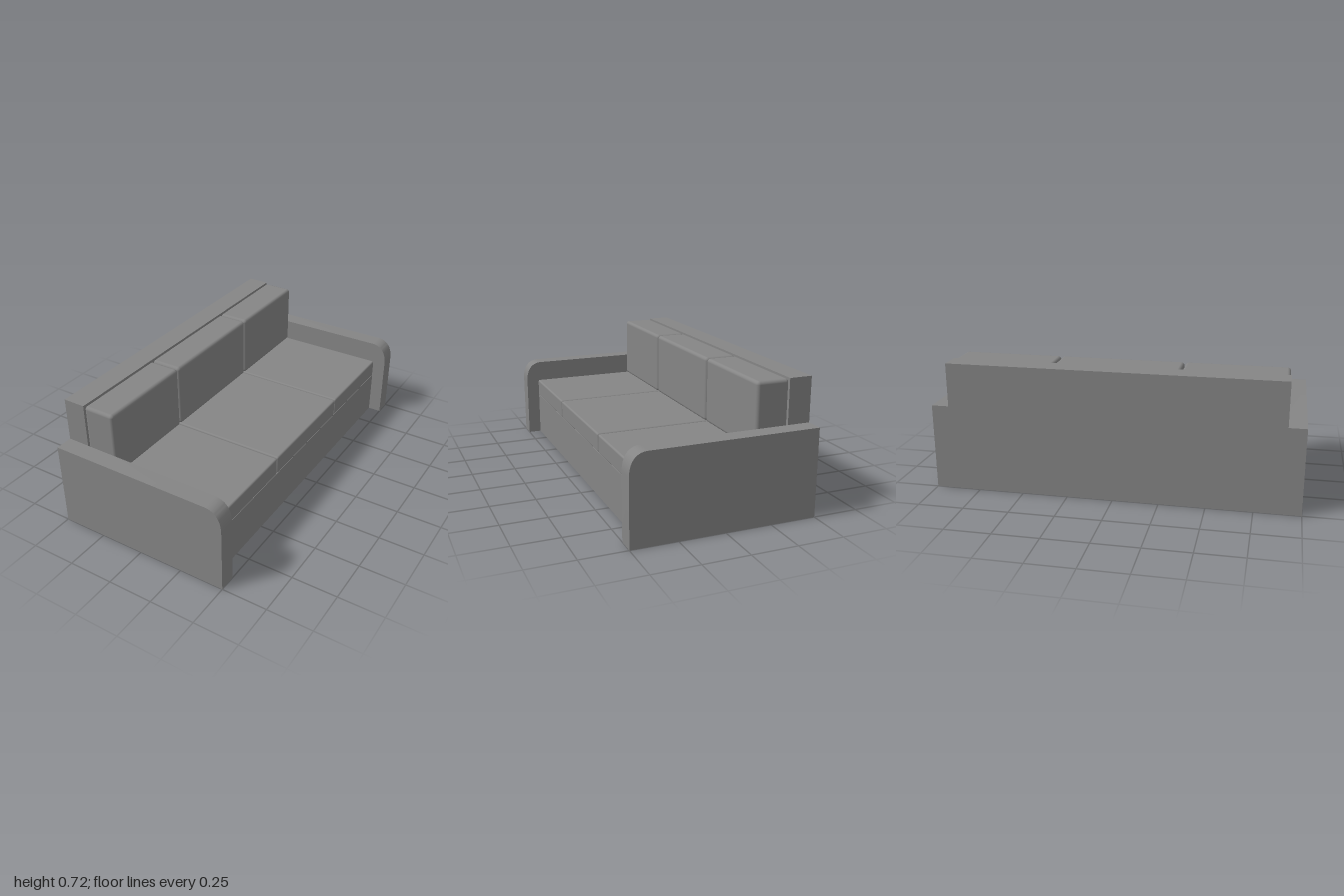
import * as THREE from 'three';
import { toCreasedNormals } from 'three/addons/utils/BufferGeometryUtils.js';
import { RoundedBoxGeometry } from 'three/addons/geometries/RoundedBoxGeometry.js';

const material = new THREE.MeshStandardMaterial({ color: 0x858585 });

export function createModel() {
  const sofa = new THREE.Group();
  sofa.name = 'sofa';

  // Adds a box spanning the given ranges, rounded when a radius is given
  function addBox(name, [x0, x1], [y0, y1], [z0, z1], radius = 0) {
    const size = [x1 - x0, y1 - y0, z1 - z0];
    const geometry = radius
      ? new RoundedBoxGeometry(...size, 4, radius)
      : new THREE.BoxGeometry(...size);
    const mesh = new THREE.Mesh(geometry, material);
    mesh.name = name;
    mesh.position.set((x0 + x1) / 2, (y0 + y1) / 2, (z0 + z1) / 2);
    sofa.add(mesh);
  }

  // Frame: base and backrest between the arms
  const inner = 0.905;
  addBox('base', [-0.5, 0.425], [0, 0.253], [-inner, inner]);
  addBox('backrest', [-0.5, -0.377], [0.253, 0.715], [-inner, inner]);

  // Three seat cushions with matching back cushions
  const gap = 0.003;
  const seams = [-inner, -0.343, 0.343, inner];
  for (let i = 0; i < 3; i++) {
    const span = [seams[i] + gap, seams[i + 1] - gap];
    addBox('seatCushion', [-0.375, 0.428], [0.254, 0.357], span, 0.01);
    addBox('backCushion', [-0.376, -0.198], [0.354, 0.711], span, 0.018);
  }

  // Arms: side profile with a full, rounded upper front corner
  const profile = new THREE.Shape();
  profile.moveTo(-0.5, 0);
  profile.lineTo(0.5, 0);
  profile.lineTo(0.5, 0.355);
  profile.bezierCurveTo(0.5, 0.43, 0.467, 0.475, 0.405, 0.475);
  profile.lineTo(-0.5, 0.475);
  profile.closePath();
  const armGeometry = toCreasedNormals(
    new THREE.ExtrudeGeometry(profile, { depth: 1 - inner, bevelEnabled: false, curveSegments: 16 }), 0.6);
  for (const [name, z] of [['leftArm', inner], ['rightArm', -1]]) {
    const arm = new THREE.Mesh(armGeometry, material);
    arm.name = name;
    arm.position.z = z;
    sofa.add(arm);
  }

  return sofa;
}
